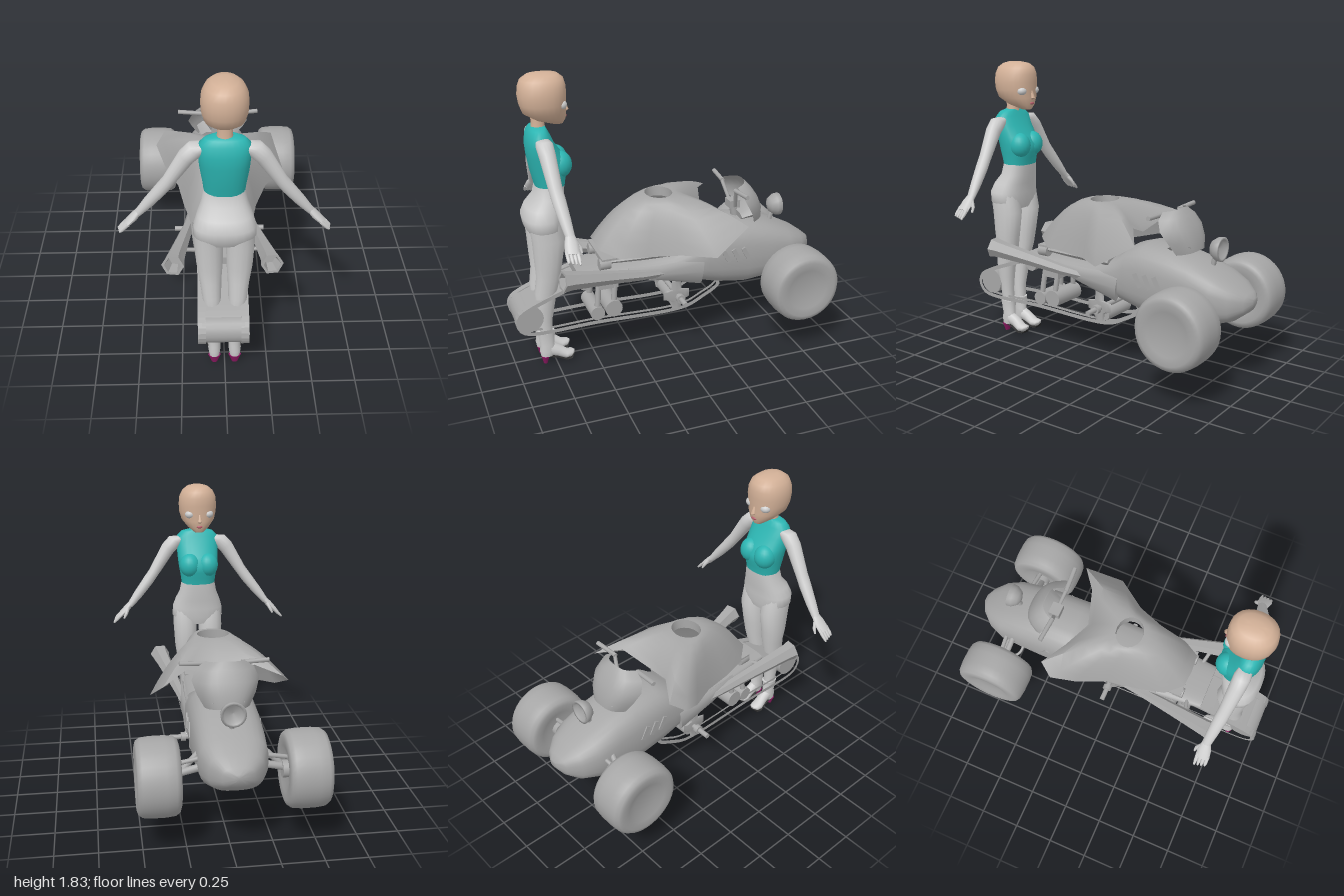
import * as THREE from 'three';
import { toCreasedNormals } from 'three/addons/utils/BufferGeometryUtils.js';

const V = (x, y, z) => new THREE.Vector3(x, y, z);
const mat = (name, color, side = THREE.FrontSide) => {
  const m = new THREE.MeshStandardMaterial({ color, side });
  m.name = name;
  return m;
};

// Skin a stack of closed rings; capped lofts are turned outward by their signed volume
function loft(rings, capped = true) {
  const n = rings[0].length, pts = rings.flat(), idx = [];
  for (let r = 0; r < rings.length - 1; r++) for (let i = 0; i < n; i++) {
    const a = r * n + i, b = r * n + (i + 1) % n;
    idx.push(a, b, a + n, b, b + n, a + n);
  }
  if (capped) [0, rings.length - 1].forEach((r) => {
    const c = rings[r].reduce((s, p) => s.add(p), V(0, 0, 0)).divideScalar(n);
    const k = pts.push(c) - 1;
    for (let i = 0; i < n; i++) {
      const a = r * n + i, b = r * n + (i + 1) % n;
      r ? idx.push(a, b, k) : idx.push(b, a, k);
    }
  });
  let vol = 0;
  for (let i = 0; i < idx.length; i += 3) {
    vol += pts[idx[i]].dot(V(0, 0, 0).crossVectors(pts[idx[i + 1]], pts[idx[i + 2]]));
  }
  if (vol < 0) idx.reverse();
  const g = new THREE.BufferGeometry().setFromPoints(pts);
  g.setIndex(idx);
  return toCreasedNormals(g, 0.9);
}

// Ring of n points, squared off by power e (1 = ellipse)
function ring(n, e, place) {
  return Array.from({ length: n }, (_, i) => {
    const a = (i / n) * Math.PI * 2, c = Math.cos(a), s = Math.sin(a);
    return place(Math.sign(c) * Math.abs(c) ** e, Math.sign(s) * Math.abs(s) ** e);
  });
}
// Upright body: rows of [y, x, half width, z front, z back]
const column = (rows, n = 20, e = 0.9) => loft(rows.map(([y, x, w, f, b]) =>
  ring(n, e, (c, s) => V(x + c * w, y, (f + b) / 2 + s * (b - f) / 2))));
// Tapered limb: rows of [x, y, z, radius, second radius]
function limb(rows, n = 12) {
  const d = V(...rows.at(-1)).sub(V(...rows[0])).normalize();
  const u = d.clone().cross(Math.abs(d.z) > 0.8 ? V(0, 1, 0) : V(0, 0, 1)).normalize();
  const v = d.clone().cross(u);
  return loft(rows.map(([x, y, z, r, q = r]) => ring(n, 1, (c, s) =>
    V(x, y, z).addScaledVector(u, c * r).addScaledVector(v, s * q))));
}
const rod = (a, b, r, n = 10) => limb([[...a, r], [...b, r]], n);
const ball = (x, y, z, rx, ry, rz) => new THREE.SphereGeometry(1, 20, 14).scale(rx, ry, rz).translate(x, y, z);
const box = (w, h, d, x, y, z) => new THREE.BoxGeometry(w, h, d).translate(x, y, z);
const disc = (r, w, x, y, z) => new THREE.CylinderGeometry(r, r, w, 20).rotateZ(Math.PI / 2).translate(x, y, z);
const lathe = (profile, n) => new THREE.LatheGeometry(profile.map(([r, y]) => new THREE.Vector2(r, y)), n);

// Closed belt band in the z-y plane, extruded across x
function band(outline, thick, width, x) {
  const curve = new THREE.CatmullRomCurve3(outline.map(([z, y]) => V(z, y, 0)), true, 'centripetal');
  const outer = [], inner = [];
  for (let i = 0; i < 90; i++) {
    const p = curve.getPointAt(i / 90), t = curve.getTangentAt(i / 90);
    outer.push(new THREE.Vector2(p.x, p.y));
    inner.push(new THREE.Vector2(p.x + t.y * thick, p.y - t.x * thick));
  }
  const shape = new THREE.Shape(outer);
  shape.holes.push(new THREE.Path(inner));
  const g = new THREE.ExtrudeGeometry(shape, { depth: width, bevelEnabled: false });
  return g.rotateY(-Math.PI / 2).translate(x + width / 2, 0, 0);
}

export function createModel() {
  const grey = mat('machineGrey', 0xa6a6a6), cloth = mat('drapeGrey', 0xa6a6a6, THREE.DoubleSide);
  const pale = mat('paleGrey', 0xcccccc), skin = mat('skin', 0xd2b097), teal = mat('teal', 0x2cb5b2);
  const magenta = mat('magenta', 0x8c1a62), lips = mat('lips', 0xb5606c), dark = mat('darkSole', 0x2a2a2a);
  const model = new THREE.Group(), trike = new THREE.Group(), figure = new THREE.Group();
  trike.name = 'trike'; figure.name = 'figure';
  trike.position.x = -0.01;
  model.add(trike, figure);
  const add = (group, name, geo, m) => {
    const mesh = new THREE.Mesh(geo, m);
    mesh.name = name;
    group.add(mesh);
  };
  const T = (name, geo, m = grey) => add(trike, name, geo, m);
  const F = (name, geo, m = pale) => add(figure, name, geo, m);

  // Hull, rows of [z, half width, y bottom, y top]
  T('hull', loft([[0.6, 0.15, 0.55, 0.6], [0.25, 0.185, 0.52, 0.62], [0, 0.19, 0.455, 0.64], [-0.15, 0.2, 0.425, 0.71],
    [-0.22, 0.205, 0.4, 0.77], [-0.32, 0.207, 0.37, 0.8], [-0.5, 0.208, 0.345, 0.785], [-0.65, 0.205, 0.36, 0.75],
    [-0.8, 0.195, 0.385, 0.69], [-0.9, 0.155, 0.42, 0.64], [-0.97, 0.09, 0.475, 0.59], [-1, 0.03, 0.52, 0.565]]
    .map(([z, w, b, t]) => ring(28, 0.7, (c, s) => V(c * w, (b + t) / 2 + s * (t - b) / 2, z)))));
  T('seatBase', limb([[0, 0.65, 0.44, 0.13, 0.03], [0, 0.66, 0.2, 0.17, 0.045], [0, 0.66, -0.1, 0.18, 0.05]], 16));
  T('seatPlate', box(0.32, 0.012, 0.25, 0, 0.68, 0.335));

  // Draped cover between a neck opening and an uneven hem
  const hem = [[0, 0.84, -0.24], [0.2, 0.91, -0.3], [0.35, 0.85, -0.41], [0.415, 0.71, -0.18], [0.29, 0.7, 0],
    [0.22, 0.69, 0.2], [0.19, 0.69, 0.36], [0.12, 0.73, 0.46], [0, 0.75, 0.47], [-0.1, 0.73, 0.46], [-0.18, 0.69, 0.36],
    [-0.22, 0.69, 0.2], [-0.26, 0.71, 0], [-0.35, 0.75, -0.18], [-0.405, 0.82, -0.32], [-0.35, 0.88, -0.4], [-0.2, 0.92, -0.3]];
  const rows = [0, 0.1, 0.25, 0.4, 0.55, 0.7, 0.85, 1].map((t) => hem.map((p, i) => {
    const a = (i / hem.length) * Math.PI * 2;
    const q = V(Math.sin(a) * 0.1, 0, 0.045 - Math.cos(a) * 0.085).lerp(V(p[0], 0, p[2]), t);
    q.y = 1.01 + (p[1] - 1.01) * t ** 1.8;
    return q;
  }));
  rows.unshift(rows[0].map((p) => V(p.x * 0.95, 0.95, p.z)));
  T('drapedCover', loft(rows, false), cloth);

  // Windscreen, headlamp and handlebars
  const screen = [[0.79, 0.13, -0.64], [0.86, 0.17, -0.63], [0.93, 0.195, -0.6], [0.99, 0.17, -0.56], [1.03, 0.11, -0.52]];
  const glass = new THREE.PlaneGeometry(1, 1, 12, 4), gp = glass.attributes.position;
  for (let i = 0; i < gp.count; i++) {
    const [y, w, z] = screen[Math.floor(i / 13)], u = (i % 13) / 6 - 1;
    gp.setXYZ(i, u * w, y - 0.02 * u * u, z + 0.02 * u * u + 0.1 * u ** 4 * (w / 0.195));
  }
  glass.computeVertexNormals();
  T('windscreen', glass, cloth);
  T('dashboard', limb([[0, 0.82, -0.62, 0.09, 0.03], [0, 0.83, -0.56, 0.14, 0.05], [0, 0.8, -0.48, 0.11, 0.03]], 8));
  T('headlamp', lathe([[0, 0.03], [0.05, 0.02], [0.058, 0], [0.073, 0], [0.07, 0.03], [0.048, 0.063], [0.02, 0.076], [0, 0.078]], 20)
    .rotateX(Math.PI / 2).translate(0, 0.815, -0.787));
  T('headlampStem', rod([0, 0.69, -0.72], [0, 0.79, -0.745], 0.016));
  T('handlebarClamp', box(0.08, 0.05, 0.07, 0, 0.87, -0.46));
  T('steeringStem', rod([0, 0.74, -0.48], [0, 0.88, -0.46], 0.025));

  // Track belt, side rails and rollers
  const path = [[1, 0.34], [0.975, 0.28], [0.92, 0.25], [0.5, 0.25], [-0.08, 0.25], [-0.2, 0.3], [-0.32, 0.385],
    [-0.25, 0.48], [0, 0.55], [0.3, 0.58], [0.45, 0.585], [0.6, 0.555], [0.76, 0.5], [0.93, 0.43], [0.98, 0.395]];
  T('trackBelt', band(path.map(([z, y]) => [z * 0.99, 0.4 + (y - 0.4) * 0.95]), 0.015, 0.2, 0));
  for (const s of [-1, 1]) T('trackRail', band(path, 0.024, 0.045, s * 0.122));
  for (const [z, y, r] of [[0.91, 0.345, 0.085], [0.485, 0.305, 0.045], [0.38, 0.32, 0.055], [0.555, 0.525, 0.045], [-0.03, 0.3, 0.042]])
    T('trackRoller', disc(r, 0.24, 0, y, z));
  T('suspensionBlock', box(0.2, 0.13, 0.12, 0, 0.52, 0.405));
  T('axle', disc(0.016, 0.58, 0, 0.355, -0.03));

  // Mirrored machine parts
  for (const s of [-1, 1]) {
    const wheel = lathe([[0, -0.1], [0.08, -0.1], [0.13, -0.118], [0.18, -0.123], [0.205, -0.115], [0.221, -0.092],
      [0.227, -0.04], [0.227, 0.04], [0.221, 0.092], [0.205, 0.115], [0.18, 0.123], [0.13, 0.118], [0.08, 0.1], [0, 0.1]], 36);
    T('frontWheel', wheel.rotateZ(Math.PI / 2).translate(s * 0.418, 0.452, -0.74));
    T('wheelAxle', rod([s * 0.15, 0.5, -0.74], [s * 0.36, 0.452, -0.74], 0.022));
    T('upperArm', rod([s * 0.17, 0.56, -0.76], [s * 0.31, 0.53, -0.75], 0.013));
    T('curvedArm', new THREE.TubeGeometry(new THREE.CatmullRomCurve3([V(s * 0.18, 0.5, -0.64), V(s * 0.24, 0.48, -0.645),
      V(s * 0.275, 0.46, -0.68), V(s * 0.3, 0.45, -0.74)]), 12, 0.009, 8));
    T('damper', rod([s * 0.13, 0.62, -0.7], [s * 0.3, 0.46, -0.73], 0.018));
    T('wheelHub', disc(0.05, 0.05, s * 0.31, 0.452, -0.74));
    T('exhaust', limb([[s * 0.17, 0.54, -0.02, 0.02], [s * 0.195, 0.562, 0.22, 0.032], [s * 0.235, 0.605, 0.45, 0.043],
      [s * 0.275, 0.645, 0.68, 0.056], [s * 0.282, 0.652, 0.735, 0.066], [s * 0.282, 0.652, 0.735, 0.05], [s * 0.27, 0.64, 0.66, 0.035]], 6));
    T('exhaustStay', rod([s * 0.12, 0.58, 0.5], [s * 0.24, 0.61, 0.53], 0.012));
    T('sidePanel', limb([[s * 0.17, 0.58, 0.3, 0.01, 0.03], [s * 0.18, 0.55, 0.1, 0.025, 0.05], [s * 0.185, 0.52, -0.18, 0.025, 0.09]], 8));
    T('riser', rod([s * 0.04, 0.86, -0.46], [s * 0.11, 0.99, -0.43], 0.012));
    T('handlebarGrip', rod([s * 0.1, 0.99, -0.43], [s * 0.26, 1, -0.44], 0.014));
    T('rearLamp', rod([s * 0.12, 0.64, 0.4], [s * 0.12, 0.64, 0.47], 0.035));
    T('footPeg', disc(0.028, 0.03, s * 0.2, 0.355, -0.03));
    T('hubShield', limb([[s * 0.15, 0.46, -0.02, 0.012, 0.03], [s * 0.15, 0.4, -0.02, 0.012, 0.035], [s * 0.15, 0.39, -0.02, 0.012, 0.085],
      [s * 0.15, 0.335, -0.02, 0.012, 0.085], [s * 0.15, 0.32, -0.02, 0.012, 0.04], [s * 0.15, 0.27, -0.02, 0.012, 0.03]], 8));
    for (const [z, y] of [[0.485, 0.305], [0.38, 0.32]])
      T('rollerLeg', rod([s * 0.08, 0.5, z - 0.02], [s * 0.1, y, z], 0.018));
    for (let i = 0; i < 3; i++)
      T('vent', new THREE.BoxGeometry(0.02, 0.09, 0.028).rotateX(0.5).translate(s * 0.203, 0.6, -0.335 - i * 0.067));
  }

  // Standing figure, facing -z
  F('head', column([[1.525, 0, 0.03, 0.625, 0.69], [1.555, 0, 0.07, 0.61, 0.785], [1.6, 0, 0.108, 0.607, 0.855], [1.65, 0, 0.122, 0.608, 0.873],
    [1.7, 0, 0.125, 0.603, 0.88], [1.75, 0, 0.12, 0.605, 0.875], [1.79, 0, 0.1, 0.615, 0.86], [1.815, 0, 0.07, 0.645, 0.825],
    [1.825, 0, 0.03, 0.69, 0.79]], 24, 0.92), skin);
  F('neck', column([[1.48, 0, 0.05, 0.725, 0.82], [1.54, 0, 0.04, 0.735, 0.81], [1.62, 0, 0.042, 0.73, 0.815]], 16), skin);
  F('nose', limb([[0, 1.645, 0.612, 0.006], [0, 1.6, 0.603, 0.014], [0, 1.59, 0.61, 0.008]], 8), skin);
  F('mouth', ball(0, 1.565, 0.612, 0.02, 0.009, 0.009), lips);
  F('top', column([[1.165, 0, 0.113, 0.637, 0.812], [1.21, 0, 0.118, 0.63, 0.822], [1.25, 0, 0.125, 0.617, 0.832], [1.3, 0, 0.133, 0.612, 0.84],
    [1.35, 0, 0.137, 0.642, 0.848], [1.42, 0, 0.14, 0.69, 0.853], [1.48, 0, 0.135, 0.715, 0.842], [1.51, 0, 0.105, 0.73, 0.825],
    [1.522, 0, 0.06, 0.735, 0.81]], 24, 0.85), teal);
  F('hips', column([[1.17, 0, 0.113, 0.64, 0.81], [1.1, 0, 0.126, 0.648, 0.825], [1.04, 0, 0.15, 0.66, 0.875], [0.98, 0, 0.17, 0.67, 0.9],
    [0.92, 0, 0.174, 0.675, 0.89], [0.87, 0, 0.13, 0.69, 0.86]], 24, 0.8));
  for (const s of [-1, 1]) {
    F('eye', ball(s * 0.06, 1.645, 0.646, 0.034, 0.028, 0.034));
    F('bust', ball(s * 0.06, 1.295, 0.67, 0.07, 0.08, 0.071), teal);
    F('leg', column([[0.97, s * 0.09, 0.078, 0.69, 0.88], [0.85, s * 0.088, 0.08, 0.665, 0.865], [0.7, s * 0.084, 0.074, 0.69, 0.857],
      [0.6, s * 0.08, 0.063, 0.705, 0.85], [0.5, s * 0.075, 0.055, 0.73, 0.865], [0.4, s * 0.07, 0.048, 0.748, 0.86],
      [0.3, s * 0.062, 0.04, 0.765, 0.85], [0.2, s * 0.058, 0.036, 0.765, 0.84]], 16));
    F('boot', column([[0.22, s * 0.058, 0.042, 0.75, 0.86], [0.13, s * 0.058, 0.034, 0.76, 0.845], [0.09, s * 0.06, 0.037, 0.74, 0.852],
      [0.05, s * 0.06, 0.03, 0.77, 0.845]], 16));
    F('foot', limb([[s * 0.06, 0.1, 0.8, 0.035, 0.045], [s * 0.062, 0.075, 0.74, 0.036, 0.038], [s * 0.066, 0.045, 0.69, 0.042, 0.028],
      [s * 0.067, 0.044, 0.655, 0.036, 0.024], [s * 0.066, 0.048, 0.638, 0.015, 0.012]], 14));
    F('sole', limb([[s * 0.06, 0.05, 0.8, 0.03, 0.005], [s * 0.062, 0.036, 0.74, 0.034, 0.005], [s * 0.066, 0.016, 0.69, 0.04, 0.005],
      [s * 0.067, 0.018, 0.655, 0.034, 0.005], [s * 0.066, 0.035, 0.638, 0.012, 0.004]], 14), dark);
    F('heel', new THREE.CylinderGeometry(0.037, 0.018, 0.052, 12).scale(1, 1, 0.7).translate(s * 0.06, 0.026, 0.82), magenta);
    F('arm', limb([[s * 0.11, 1.46, 0.775, 0.03, 0.04], [s * 0.15, 1.445, 0.772, 0.05, 0.05], [s * 0.2, 1.395, 0.768, 0.048, 0.048],
      [s * 0.3, 1.235, 0.755, 0.036, 0.04], [s * 0.34, 1.18, 0.748, 0.036, 0.04], [s * 0.41, 1.09, 0.735, 0.031, 0.034],
      [s * 0.47, 1.015, 0.725, 0.021, 0.027]], 16));
    F('palm', limb([[s * 0.46, 1.03, 0.725, 0.018, 0.025], [s * 0.495, 0.99, 0.727, 0.022, 0.04], [s * 0.54, 0.945, 0.732, 0.016, 0.042]]));
    F('thumb', limb([[s * 0.485, 1, 0.705, 0.014], [s * 0.5, 0.965, 0.68, 0.011], [s * 0.515, 0.935, 0.675, 0.006]], 8));
    for (let i = 0; i < 4; i++) {
      const z = 0.702 + i * 0.02;
      F('finger', limb([[s * 0.525, 0.96, z, 0.012], [s * 0.56, 0.925, z, 0.011], [s * (0.585 - i * 0.004), 0.9 + i * 0.004, z, 0.006]], 8));
    }
  }
  return model;
}
